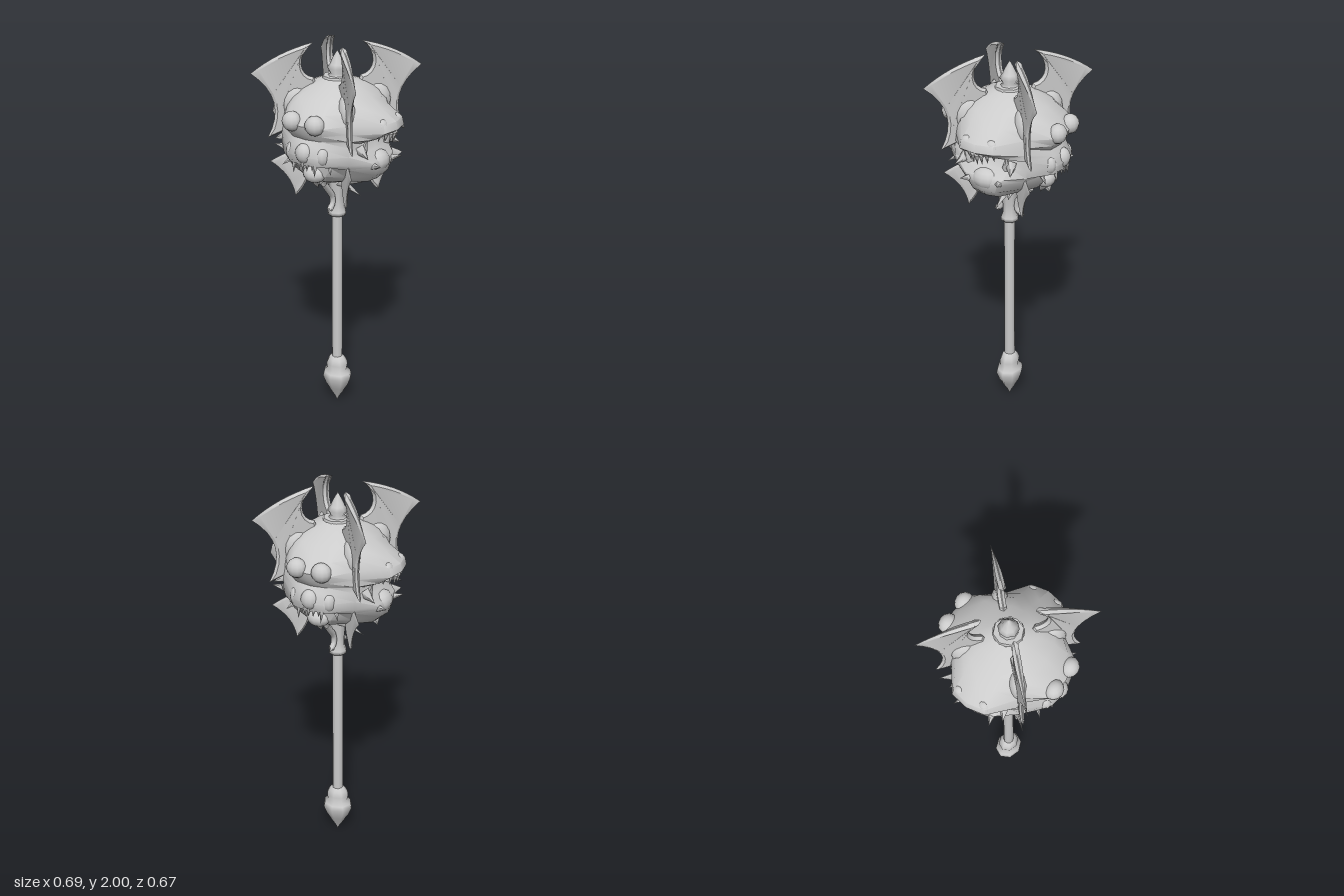
import * as THREE from 'three';
import { toCreasedNormals } from 'three/addons/utils/BufferGeometryUtils.js';

const mat = new THREE.MeshStandardMaterial({ color: 0xcccccc, side: THREE.DoubleSide });
const V = (x, y, z) => new THREE.Vector3(x, y, z);

function add(parent, name, geo, pos = [0, 0, 0]) {
  const m = new THREE.Mesh(geo, mat);
  m.name = name;
  m.position.set(...pos);
  parent.add(m);
  return m;
}

function lathe(profile, sides) {
  return new THREE.LatheGeometry(profile.map(p => new THREE.Vector2(...p)), sides);
}

// Cone from a base point to a tip
function spike(parent, name, from, to, radius, sides = 5) {
  const a = V(...from), d = V(...to).sub(a), len = d.length();
  const m = add(parent, name, new THREE.ConeGeometry(radius, len, sides).translate(0, len / 2, 0), from);
  m.quaternion.setFromUnitVectors(V(0, 1, 0), d.normalize());
  return m;
}

function blob(parent, name, pos, size) {
  return add(parent, name, new THREE.SphereGeometry(1, 12, 8).scale(...size), pos);
}

// Lofted core; each level: y, reach in x, half width there, diagonal, reach in z, half width there
function coreGeometry() {
  const levels = [
    [1.825, 0.07, 0.03, 0.05, 0.07, 0.03],
    [1.80, 0.13, 0.06, 0.10, 0.13, 0.06],
    [1.76, 0.19, 0.08, 0.15, 0.20, 0.09],
    [1.715, 0.25, 0.08, 0.172, 0.27, 0.10],
    [1.66, 0.335, 0.085, 0.185, 0.31, 0.11],
    [1.62, 0.343, 0.09, 0.19, 0.30, 0.10],
    [1.585, 0.29, 0.10, 0.195, 0.275, 0.08],
    [1.555, 0.21, 0.11, 0.195, 0.295, 0.075],
    [1.51, 0.225, 0.12, 0.195, 0.315, 0.08],
    [1.465, 0.275, 0.10, 0.19, 0.30, 0.085],
    [1.44, 0.285, 0.08, 0.18, 0.22, 0.10],
    [1.39, 0.275, 0.06, 0.16, 0.22, 0.07],
    [1.35, 0.23, 0.06, 0.125, 0.185, 0.05],
    [1.325, 0.13, 0.05, 0.08, 0.13, 0.04],
    [1.30, 0.03, 0.01, 0.02, 0.03, 0.01],
  ];
  const pos = [], idx = [], n = 16;
  for (const [y, rx, wx, d, rz, wz] of levels) {
    const q = [[rx, 0], [rx * 0.95, wx], [d, d], [wz, rz * 0.95], [0, rz]];
    const mirror = q.slice(0, 4).reverse().map(([x, z]) => [-x, z]);
    const half = [...q, ...mirror];
    const ring = [...half, ...half.slice(1, 8).reverse().map(([x, z]) => [x, -z])];
    ring.forEach(([x, z]) => pos.push(x, y, z));
  }
  for (let i = 0; i < levels.length - 1; i++) {
    for (let j = 0; j < n; j++) {
      const a = i * n + j, b = i * n + (j + 1) % n;
      idx.push(a, b, a + n, b, b + n, a + n);
    }
  }
  const g = new THREE.BufferGeometry();
  g.setAttribute('position', new THREE.Float32BufferAttribute(pos, 3));
  g.setIndex(idx);
  g.computeVertexNormals();
  return toCreasedNormals(g, 0.8);
}

// Thin fin in the radius/height plane that sharpens towards its outer edge
function finGeometry(shape, half, rEnd) {
  const g = new THREE.ExtrudeGeometry(shape, {
    depth: 0.004, curveSegments: 8, bevelEnabled: true, bevelSegments: 1,
    bevelThickness: half, bevelSize: 0.012, bevelOffset: -0.012,
  }).translate(0, 0, -0.002);
  const p = g.attributes.position;
  for (let i = 0; i < p.count; i++) {
    const k = THREE.MathUtils.clamp((rEnd - p.getX(i)) / 0.2, 0.1, 1);
    p.setZ(i, p.getZ(i) * k);
  }
  g.computeVertexNormals();
  return toCreasedNormals(g, 0.5);
}

function upperFinShape() {
  const s = new THREE.Shape();
  s.moveTo(0.12, 2.0);
  s.quadraticCurveTo(0.29, 1.965, 0.42, 1.865);
  s.quadraticCurveTo(0.24, 1.73, 0.345, 1.54);
  s.lineTo(0.18, 1.6);
  s.lineTo(0.10, 1.78);
  s.lineTo(0.115, 1.83);
  s.bezierCurveTo(0.19, 1.84, 0.20, 1.94, 0.12, 2.0);
  return s;
}

function lowerFinShape() {
  const s = new THREE.Shape();
  s.moveTo(0.335, 1.418);
  s.quadraticCurveTo(0.23, 1.34, 0.212, 1.225);
  s.quadraticCurveTo(0.14, 1.29, 0.135, 1.39);
  s.lineTo(0.2, 1.47);
  s.quadraticCurveTo(0.27, 1.455, 0.335, 1.418);
  return s;
}

// Snouted face on the z side: heavy brows, nose, hanging teeth and a pointed chin
function browFace() {
  const g = new THREE.Group();
  for (const s of [-1, 1]) {
    blob(g, 'brow', [s * 0.065, 1.67, 0.29], [0.05, 0.048, 0.045]);
    blob(g, 'cheek', [s * 0.085, 1.51, 0.25], [0.035, 0.05, 0.045]);
    spike(g, 'fang', [s * 0.062, 1.475, 0.28], [s * 0.06, 1.41, 0.29], 0.014);
    spike(g, 'cheekSpike', [s * 0.10, 1.47, 0.22], [s * 0.14, 1.43, 0.27], 0.02);
  }
  blob(g, 'nose', [0, 1.52, 0.285], [0.045, 0.05, 0.04]);
  for (let i = -2; i <= 2; i++) {
    const z = 0.295 - 0.004 * i * i;
    spike(g, 'tooth', [i * 0.022, 1.475, z], [i * 0.022, 1.435, z + 0.005], 0.011);
  }
  blob(g, 'chin', [0, 1.39, 0.20], [0.06, 0.045, 0.05]);
  spike(g, 'chinPoint', [0, 1.385, 0.20], [0, 1.305, 0.17], 0.045, 6);
  return g;
}

// Gaping face on the x side, built facing +z: overhanging lip, teeth and jutting jaw
function maw() {
  const g = new THREE.Group();
  for (let i = -4; i <= 4; i++) {
    const z = 0.325 - 0.0045 * i * i;
    spike(g, 'tooth', [i * 0.022, 1.605, z], [i * 0.022, 1.55 + 0.004 * Math.abs(i), z - 0.01], 0.012);
  }
  for (const s of [-1, 1]) {
    spike(g, 'tusk', [s * 0.10, 1.51, 0.215], [s * 0.115, 1.60, 0.25], 0.022);
    spike(g, 'jawSpike', [s * 0.075, 1.44, 0.25], [s * 0.10, 1.455, 0.315], 0.022);
    spike(g, 'earSpike', [s * 0.12, 1.53, 0.21], [s * 0.15, 1.50, 0.275], 0.03);
    blob(g, 'lipCorner', [s * 0.065, 1.645, 0.295], [0.035, 0.035, 0.03]);
  }
  blob(g, 'jaw', [0, 1.445, 0.235], [0.075, 0.055, 0.055]);
  return g;
}

export function createModel() {
  const root = new THREE.Group();

  // Handle
  add(root, 'shaft', new THREE.CylinderGeometry(0.028, 0.028, 0.86, 10), [0, 0.7, 0]);
  const pommel = lathe([[0, 0], [0.014, 0.03], [0.034, 0.06], [0.05, 0.09], [0.066, 0.115], [0.083, 0.16],
    [0.077, 0.185], [0.056, 0.205], [0.062, 0.235], [0.05, 0.262], [0.033, 0.282], [0, 0.288]], 8);
  add(root, 'pommel', pommel.scale(1, 1, 0.85));
  const collar = lathe([[0, 1.105], [0.047, 1.108], [0.045, 1.125], [0.036, 1.15], [0.036, 1.2],
    [0.042, 1.26], [0.05, 1.325]], 8);
  add(root, 'collar', collar);

  // Spikes and hooked struts under the head
  for (const s of [-1, 1]) {
    for (const a of [-0.6, 0, 0.6]) {
      const c = Math.cos(a) * s, z = Math.sin(a);
      spike(root, 'collarSpike', [0.02 * c, 1.29, 0.02 * z], [0.145 * c, a ? 1.285 : 1.235, 0.1 * z], 0.028, 4);
    }
    const path = new THREE.CatmullRomCurve3([V(0, 1.31, s * 0.12), V(0, 1.27, s * 0.085), V(0, 1.215, s * 0.043),
      V(0, 1.175, s * 0.045), V(0, 1.155, s * 0.07)]);
    add(root, 'strut', new THREE.TubeGeometry(path, 12, 0.016, 6));
    spike(root, 'strutHook', [0, 1.163, s * 0.058], [0, 1.145, s * 0.088], 0.018);
  }

  // Head with two pairs of faces
  const head = new THREE.Group();
  head.name = 'head';
  root.add(head);
  add(head, 'core', coreGeometry());
  for (let i = 0; i < 4; i++) {
    const face = i % 2 ? maw() : browFace();
    face.name = i % 2 ? 'gapingFace' : 'browFace';
    face.rotation.y = i * Math.PI / 2;
    head.add(face);
  }

  // Diagonal fins
  const upper = finGeometry(upperFinShape(), 0.014, 0.43);
  const lower = finGeometry(lowerFinShape(), 0.01, 0.36);
  for (let i = 0; i < 4; i++) {
    const a = Math.PI / 4 + i * Math.PI / 2;
    add(head, 'upperFin', upper).rotation.y = a;
    add(head, 'lowerFin', lower).rotation.y = a;
    const mount = blob(head, 'finMount', [Math.cos(a) * 0.2, 1.70, -Math.sin(a) * 0.2], [0.07, 0.09, 0.045]);
    mount.rotation.y = a;
  }

  // Cap and finial
  add(root, 'cap', new THREE.CylinderGeometry(0.07, 0.075, 0.018, 8).toNonIndexed(), [0, 1.826, 0]);
  const finial = lathe([[0.05, 1.83], [0.034, 1.845], [0.05, 1.872], [0.036, 1.89], [0.02, 1.925], [0, 1.96]], 8);
  add(root, 'finial', finial).rotation.y = Math.PI / 8;
  return root;
}
